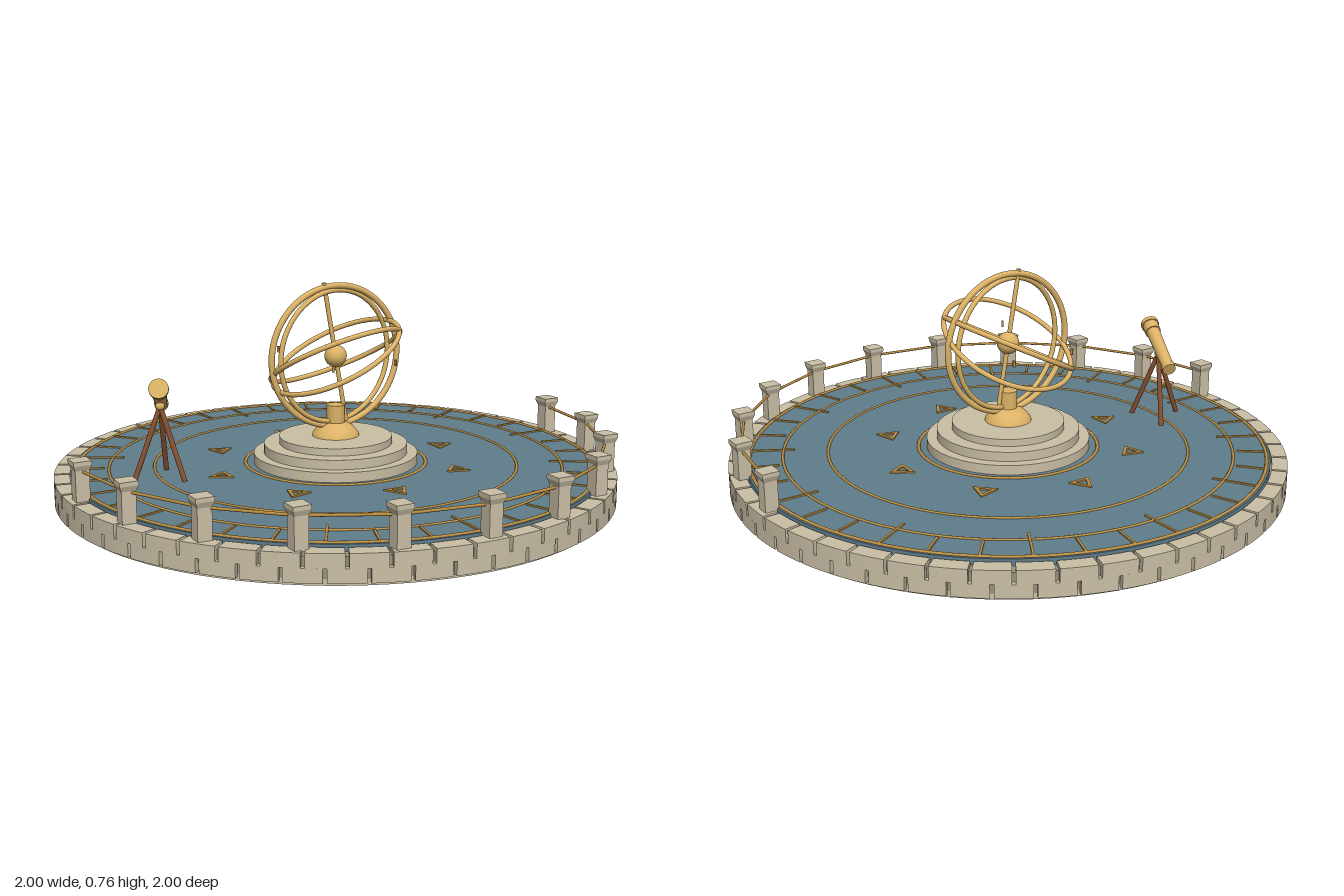
import * as THREE from 'three';

const mat = (name, color) => Object.assign(new THREE.MeshStandardMaterial({ color }), { name });
const deg = Math.PI / 180;

export function createModel() {
  const stone = mat('pale stone', 0xcabfa6);
  const joint = mat('joint stone', 0x9a907b);
  const blue = mat('slate blue', 0x607d8b);
  const gold = mat('brass', 0xdcb266);
  const bronze = mat('inlay bronze', 0xb98c40);
  const wood = mat('brown wood', 0x855030);

  const model = new THREE.Group();
  const group = (name, parent = model) => {
    const g = new THREE.Group();
    g.name = name;
    parent.add(g);
    return g;
  };
  const add = (parent, name, geo, material, x = 0, y = 0, z = 0) => {
    const m = new THREE.Mesh(geo, material);
    m.name = name;
    m.position.set(x, y, z);
    parent.add(m);
    return m;
  };
  const disc = (parent, name, material, radius, y0, y1) =>
    add(parent, name, new THREE.CylinderGeometry(radius, radius, y1 - y0, 96), material, 0, (y0 + y1) / 2, 0);
  // Tapered rod running from a to b
  const rod = (parent, name, material, a, b, ra, rb = ra, sides = 18) => {
    const d = b.clone().sub(a);
    const m = add(parent, name, new THREE.CylinderGeometry(rb, ra, d.length(), sides), material);
    m.position.copy(a).addScaledVector(d, 0.5);
    m.quaternion.setFromUnitVectors(new THREE.Vector3(0, 1, 0), d.normalize());
    return m;
  };
  const V = (x, y, z) => new THREE.Vector3(x, y, z);

  // Round platform: solid core, two staggered courses of blocks, blue floor
  const platform = group('platform');
  disc(platform, 'platformBase', stone, 0.982, 0, 0.02);
  disc(platform, 'platformCore', joint, 0.982, 0.02, 0.09);
  disc(platform, 'floor', blue, 0.94, 0.085, 0.113);
  const COUNT = 48;
  const half = Math.PI / COUNT - 0.006;
  const sector = new THREE.Shape();
  sector.absarc(0, 0, 1, -half, half, false);
  sector.absarc(0, 0, 0.945, half, -half, true);
  const block = new THREE.ExtrudeGeometry(sector, { depth: 0.0465, bevelEnabled: false, curveSegments: 3 });
  block.rotateX(-Math.PI / 2);
  for (let course = 0; course < 2; course++) {
    const ring = group(course ? 'upperBlocks' : 'lowerBlocks', platform);
    for (let i = 0; i < COUNT; i++) {
      add(ring, 'stoneBlock', block, stone, 0, course ? 0.0585 : 0.012, 0)
        .rotation.y = ((i + course * 0.5 + 0.5) * 2 * Math.PI) / COUNT;
    }
  }

  // Inlaid floor rings, degree ticks and triangles
  const inlay = group('floorInlay');
  for (const [r, t] of [[0.325, 0.006], [0.65, 0.005], [0.81, 0.005], [0.927, 0.006]]) {
    const geo = new THREE.TorusGeometry(r, t, 16, 96);
    geo.rotateX(Math.PI / 2);
    add(inlay, 'inlayRing', geo, bronze, 0, 0.113, 0);
  }
  for (let i = 0; i < 36; i++) {
    const r0 = i % 3 ? 0.825 : 0.77;
    const geo = new THREE.BoxGeometry(0.925 - r0, 0.008, 0.008);
    geo.translate((0.925 + r0) / 2, 0, 0);
    add(inlay, 'degreeTick', geo, bronze, 0, 0.114, 0).rotation.y = i * 10 * deg;
  }
  const triangle = (path, r) => {
    for (let k = 0; k < 3; k++) {
      const a = k * 120 * deg;
      path[k ? 'lineTo' : 'moveTo'](r * Math.cos(a), r * Math.sin(a));
    }
    path.closePath();
    return path;
  };
  const tri = triangle(new THREE.Shape(), 0.05);
  tri.holes.push(triangle(new THREE.Path(), 0.026));
  const triGeo = new THREE.ExtrudeGeometry(tri, { depth: 0.006, bevelEnabled: false });
  triGeo.rotateX(-Math.PI / 2);
  triGeo.translate(0.445, 0, 0);
  for (let i = 0; i < 8; i++) {
    add(inlay, 'floorTriangle', triGeo, bronze, 0, 0.112, 0).rotation.y = i * 45 * deg;
  }

  // Balustrade around the front half
  const balustrade = group('balustrade');
  const postAt = (i) => {
    const a = (-1.2 + i * 18) * deg;
    return V(0.957 * Math.cos(a), 0, 0.957 * Math.sin(a));
  };
  const flare = new THREE.CylinderGeometry(0.031 * Math.SQRT2, 0.024 * Math.SQRT2, 0.018, 4).toNonIndexed();
  flare.rotateY(Math.PI / 4);
  flare.computeVertexNormals();
  for (let i = 0; i <= 10; i++) {
    const p = postAt(i);
    add(balustrade, 'post', new THREE.BoxGeometry(0.048, 0.115, 0.048), stone, p.x, 0.158, p.z);
    add(balustrade, 'postFlare', flare, stone, p.x, 0.219, p.z);
    add(balustrade, 'postCap', new THREE.BoxGeometry(0.062, 0.014, 0.062), stone, p.x, 0.235, p.z);
    if (i < 10) {
      const q = postAt(i + 1);
      p.y = q.y = 0.205;
      rod(balustrade, 'rail', bronze, p, q, 0.005);
    }
  }

  // Stepped pedestal
  const pedestal = group('pedestal');
  disc(pedestal, 'lowerStep', stone, 0.295, 0.11, 0.148);
  disc(pedestal, 'middleStep', stone, 0.258, 0.148, 0.182);
  disc(pedestal, 'upperStep', stone, 0.203, 0.182, 0.208);

  // Armillary sphere
  const armillary = group('armillarySphere');
  const foot = [[0.085, 0.205], [0.083, 0.217], [0.068, 0.236], [0.05, 0.25], [0.033, 0.256]];
  add(armillary, 'brassFoot', new THREE.LatheGeometry(foot.map(([x, y]) => new THREE.Vector2(x, y)), 32), gold);
  rod(armillary, 'brassPost', gold, V(0, 0.25, 0), V(0, 0.32, 0), 0.033, 0.033, 32);
  const cy = 0.497;
  add(armillary, 'centralGlobe', new THREE.SphereGeometry(0.04, 28, 18), gold, 0, cy, 0);
  add(armillary, 'meridianRing', new THREE.TorusGeometry(0.252, 0.011, 16, 72), gold, 0, cy, 0);
  add(armillary, 'innerMeridianRing', new THREE.TorusGeometry(0.236, 0.009, 16, 72), gold, 0, cy, 0)
    .rotation.y = 8.5 * deg;

  // Tilted axis with two crossing hoops
  const tilted = group('tiltedAxis', armillary);
  tilted.position.y = cy;
  tilted.rotation.z = 10 * deg;
  rod(tilted, 'axisRod', gold, V(0, -0.265, 0), V(0, 0.268, 0), 0.008);
  const hoop = new THREE.TorusGeometry(0.245, 0.009, 16, 72);
  hoop.rotateX(Math.PI / 2);
  add(tilted, 'eclipticHoop', hoop, gold).rotation.x = -27 * deg;
  add(tilted, 'equatorHoop', hoop, gold).rotation.z = 17 * deg;

  // Small hour markers on a level circle
  for (let i = 0; i < 6; i++) {
    const a = i * 60 * deg;
    add(armillary, 'hourMarker', new THREE.BoxGeometry(0.008, 0.022, 0.008), bronze,
      0.245 * Math.cos(a), cy, 0.245 * Math.sin(a)).rotation.y = -a;
  }

  // Telescope on its tripod
  const telescope = group('telescope');
  const apex = V(-0.635, 0.365, -0.085);
  for (const a of [60, 180, 300]) {
    rod(telescope, 'tripodLeg', wood, V(apex.x + 0.1 * Math.cos(a * deg), 0.112, apex.z + 0.1 * Math.sin(a * deg)),
      apex, 0.009);
  }
  add(telescope, 'tripodHead', new THREE.SphereGeometry(0.016, 14, 10), gold, apex.x, apex.y, apex.z);
  const eye = V(-0.585, 0.343, -0.205);
  const lens = V(-0.68, 0.452, 0.025);
  const along = (t) => eye.clone().lerp(lens, t);
  rod(telescope, 'telescopeTube', gold, along(0.04), along(0.85), 0.022, 0.026, 24);
  rod(telescope, 'eyepieceCollar', gold, along(0), along(0.08), 0.025, 0.025, 24);
  rod(telescope, 'lensHood', gold, along(0.8), along(0.95), 0.03, 0.03, 24);
  rod(telescope, 'lensRim', gold, along(0.94), along(1), 0.034, 0.034, 24);

  return model;
}
